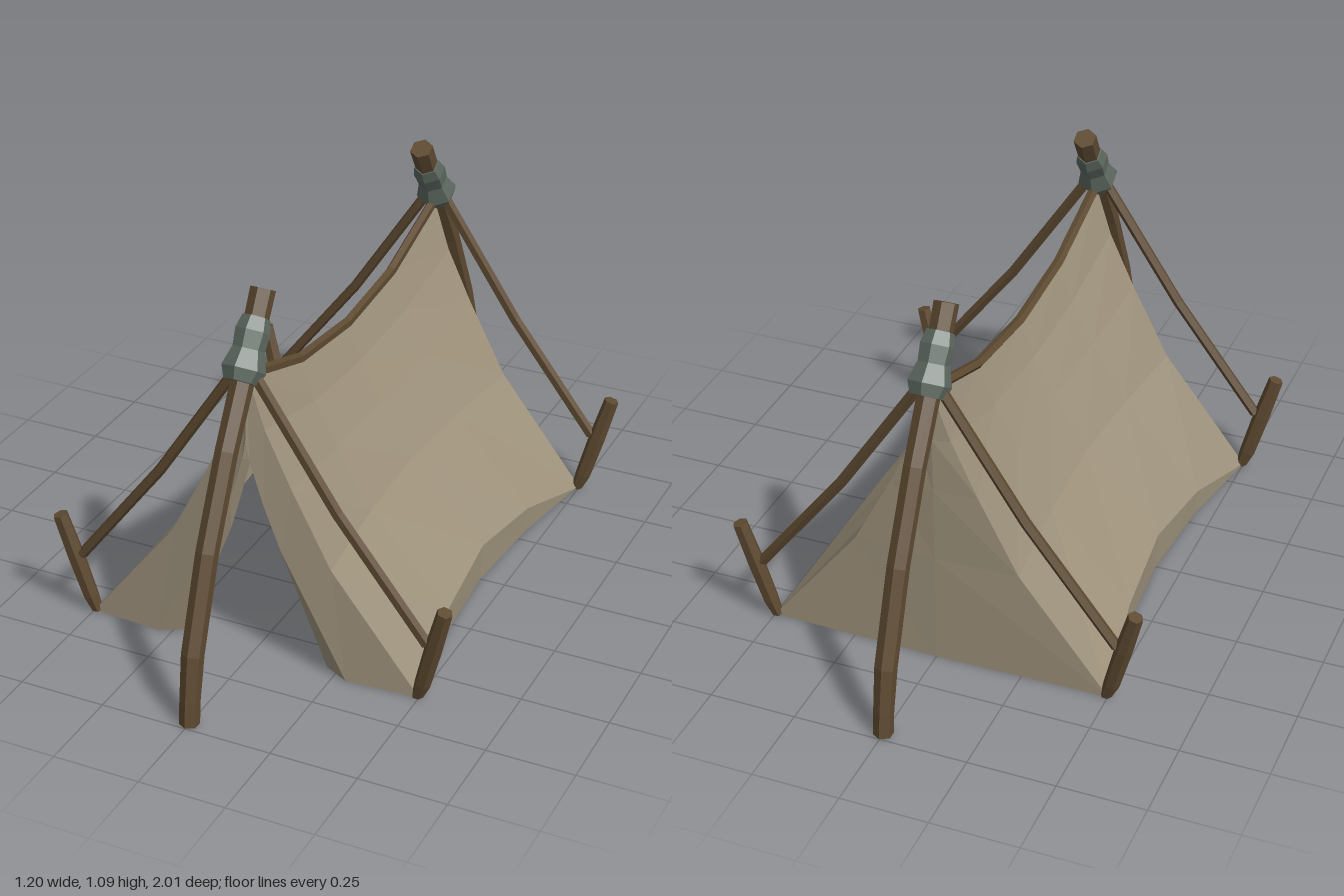
import * as THREE from 'three';

const wood = new THREE.MeshStandardMaterial({ name: 'wood', color: 0x5e4a31 });
const canvas = new THREE.MeshStandardMaterial({ name: 'canvas', color: 0x9d917b, side: THREE.DoubleSide });
const lashing = new THREE.MeshStandardMaterial({ name: 'lashing', color: 0x5f6b62 });

// Flat-faced mesh from a list of corner points, three per triangle
function facets(name, corners, material) {
  const g = new THREE.BufferGeometry();
  g.setAttribute('position', new THREE.Float32BufferAttribute(corners.flat(), 3));
  g.computeVertexNormals();
  const mesh = new THREE.Mesh(g, material);
  mesh.name = name;
  return mesh;
}

// Sheet of cloth through rows of points
function sheet(name, rows) {
  const c = [];
  for (let i = 0; i + 1 < rows.length; i++) {
    for (let j = 0; j + 1 < rows[i].length; j++) {
      const [a, b, d, e] = [rows[i][j], rows[i + 1][j], rows[i + 1][j + 1], rows[i][j + 1]];
      c.push(a, b, d, a, d, e);
    }
  }
  return facets(name, c, canvas);
}

// Faceted bar along a path, with a radius at each point and closed ends
function bar(name, path, radii, material, sides = 6, across = [1, 0, 0]) {
  const pts = path.map(p => new THREE.Vector3(...p));
  const rings = pts.map((p, i) => {
    const t = pts[Math.min(i + 1, pts.length - 1)].clone().sub(pts[Math.max(i - 1, 0)]).normalize();
    const u = new THREE.Vector3(...across).addScaledVector(t, -t.dot(new THREE.Vector3(...across))).normalize();
    const v = t.clone().cross(u);
    const r = Array.isArray(radii) ? radii[i] : radii;
    return Array.from({ length: sides }, (_, k) => {
      const a = (k + 0.5) / sides * Math.PI * 2;
      const q = p.clone().addScaledVector(u, r * Math.cos(a)).addScaledVector(v, r * Math.sin(a));
      return [q.x, Math.max(q.y, 0), q.z];
    });
  });
  const c = [], last = rings.length - 1;
  for (let k = 0; k < sides; k++) {
    const n = (k + 1) % sides;
    for (let i = 0; i < last; i++) {
      const [a, b] = [rings[i], rings[i + 1]];
      c.push(a[k], a[n], b[n], a[k], b[n], b[k]);
    }
    c.push(path[0], rings[0][n], rings[0][k], path[last], rings[last][k], rings[last][n]);
  }
  return facets(name, c, material);
}

export function createModel() {
  const model = new THREE.Group();
  model.name = 'tent';

  // Cloth stations along z: [z, ridge height, hem x, hem height]
  const stations = [[0.61, 0.87, 0.5, 0], [0.3, 0.77, 0.45, 0.08], [0, 0.74, 0.43, 0.115],
    [-0.3, 0.77, 0.45, 0.08], [-0.61, 0.87, 0.5, 0]];
  // Sagging slope: [share of width, share of height]
  const slope = [[0, 1], [0.1, 0.82], [0.25, 0.635], [0.48, 0.38], [1, 0]];
  const section = ([z, top, hx, hy], s) => slope.map(([fx, fy]) => [s * fx * hx, hy + fy * (top - hy), z]);

  for (const s of [1, -1]) {
    const side = s > 0 ? 'left' : 'right';
    model.add(sheet(side + 'Canvas', stations.map(st => section(st, s))));
    // Hem hanging from the arched edge to the ground
    model.add(sheet(side + 'Hem', stations.map(([z, , x, y]) => [[s * x, y, z], [s * (x - 0.005), 0, z]])));

    // Front door flap with its edge folded inwards
    const outer = section(stations[0], s);
    const edge = [[0, 0.68], [0.01, 0.62], [0.05, 0.49], [0.1, 0.36], [0.29, 0]].map(([x, y]) => [s * x, y, 0.625]);
    const fold = [[0, 0.66], [0.005, 0.6], [0.035, 0.49], [0.07, 0.37], [0.215, 0]].map(([x, y]) => [s * x, y, 0.585]);
    model.add(sheet(side + 'DoorFlap', [outer, edge]));
    model.add(sheet(side + 'DoorFold', [edge, fold]));
  }

  // Closed back wall
  const back = stations[4];
  model.add(sheet('backWall', [section(back, 1), slope.map(([, fy]) => [0, fy * 0.87, -0.62]), section(back, -1)]));

  // Ridge rope
  model.add(bar('ridgeRope', stations.map(([z, y]) => [0, y - 0.002, z]), 0.015, wood, 5));

  for (const e of [1, -1]) {
    const end = e > 0 ? 'front' : 'back';
    // Bent pole
    const pole = [[0.975, 0], [0.968, 0.07], [0.945, 0.2], [0.85, 0.46], [0.73, 0.7], [0.62, 0.88], [0.508, 1.07]];
    model.add(bar(end + 'Pole', pole.map(([z, y]) => [0, y, e * z]),
      [0.028, 0.028, 0.031, 0.031, 0.031, 0.032, 0.034], wood));

    // Lashing around the pole head
    const wrap = [[0.645, 0.862], [0.625, 0.89], [0.596, 0.935], [0.57, 0.975], [0.548, 1.005]];
    model.add(bar(end + 'Lashing', wrap.map(([z, y]) => [0, y, e * z]),
      [0.046, 0.06, 0.043, 0.047, 0.038], lashing));

    for (const s of [1, -1]) {
      const label = end + (s > 0 ? 'Left' : 'Right');
      // Guy rope
      model.add(bar(label + 'GuyRope', [[s * 0.02, 0.89, e * 0.62], [s * 0.265, 0.52, e * 0.622], [s * 0.525, 0.185, e * 0.62]],
        0.016, wood, 5, [0, 0, 1]));
      // Leaning ground stake
      model.add(bar(label + 'Stake', [[s * 0.494, 0, e * 0.605], [s * 0.51, 0.05, e * 0.61], [s * 0.545, 0.18, e * 0.622], [s * 0.58, 0.308, e * 0.634]],
        [0.017, 0.023, 0.025, 0.022], wood, 6, [0, 0, 1]));
    }
  }
  return model;
}
